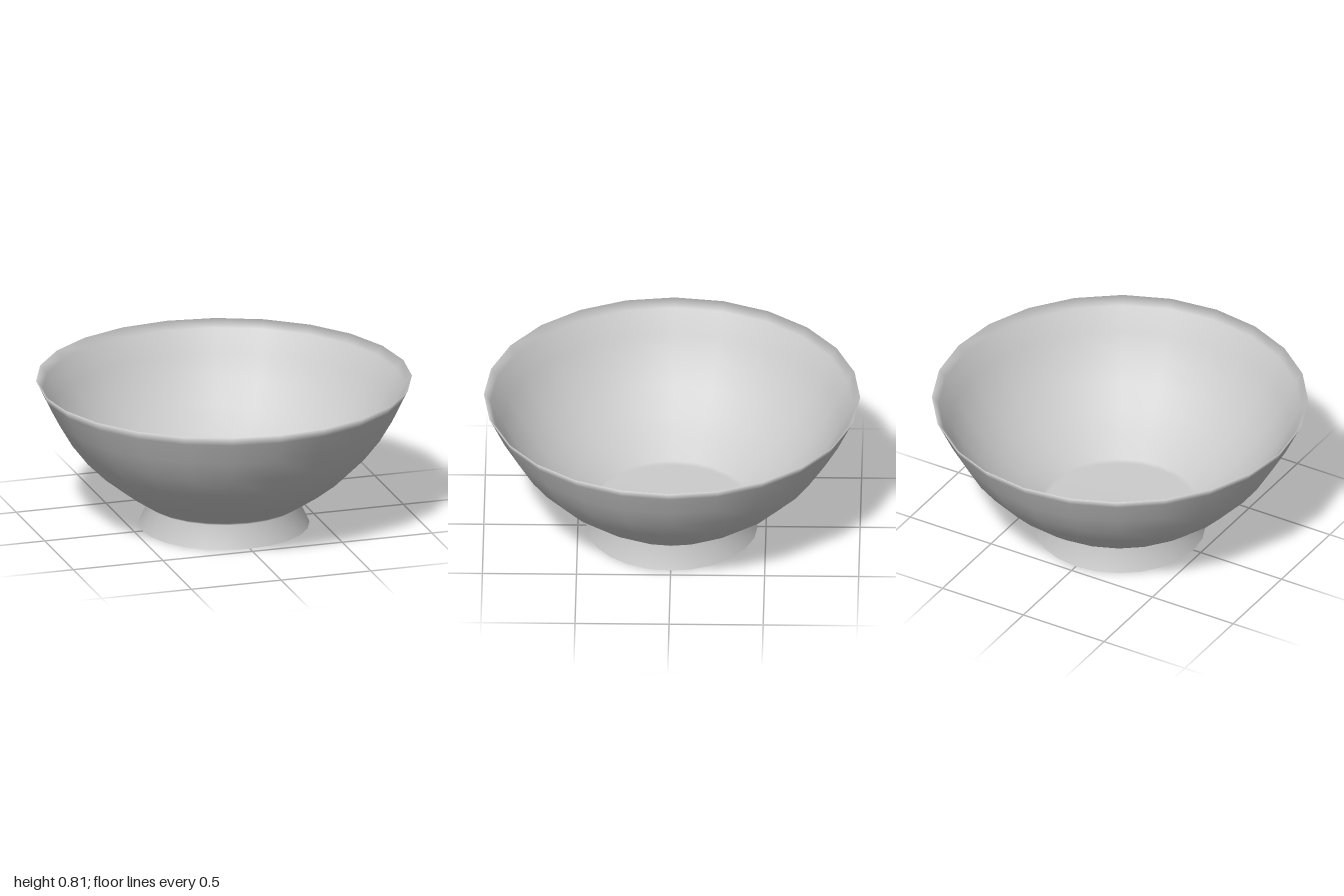
import * as THREE from 'three';

export function createModel() {
  const group = new THREE.Group();
  const material = new THREE.MeshStandardMaterial({ color: 0xcccccc, side: THREE.DoubleSide });

  // wall of the bowl, from the neck up to the lip
  const wall = [
    [0.40, 0.12], [0.43, 0.14], [0.55, 0.22], [0.66, 0.305], [0.76, 0.405],
    [0.845, 0.515], [0.915, 0.635], [0.975, 0.76], [1.0, 0.81],
  ];

  // inner skin, slightly inside the wall, from below the lip down to the floor
  const inner = wall.slice(1, -1).reverse().map(([r, y]) => [r - 0.012, y + 0.008]);

  const profile = [
    [0, 0.11], [0.36, 0.11], [0.39, 0.105], // underside of the floor
    [0.44, 0.012], [0.455, 0],              // flared foot ring
    ...wall,
    ...inner,
    [0.40, 0.135], [0, 0.135],              // inside floor
  ].map(([r, y]) => new THREE.Vector2(r, y));

  const bowl = new THREE.Mesh(new THREE.LatheGeometry(profile, 24), material);
  bowl.name = 'bowl';
  group.add(bowl);
  return group;
}
